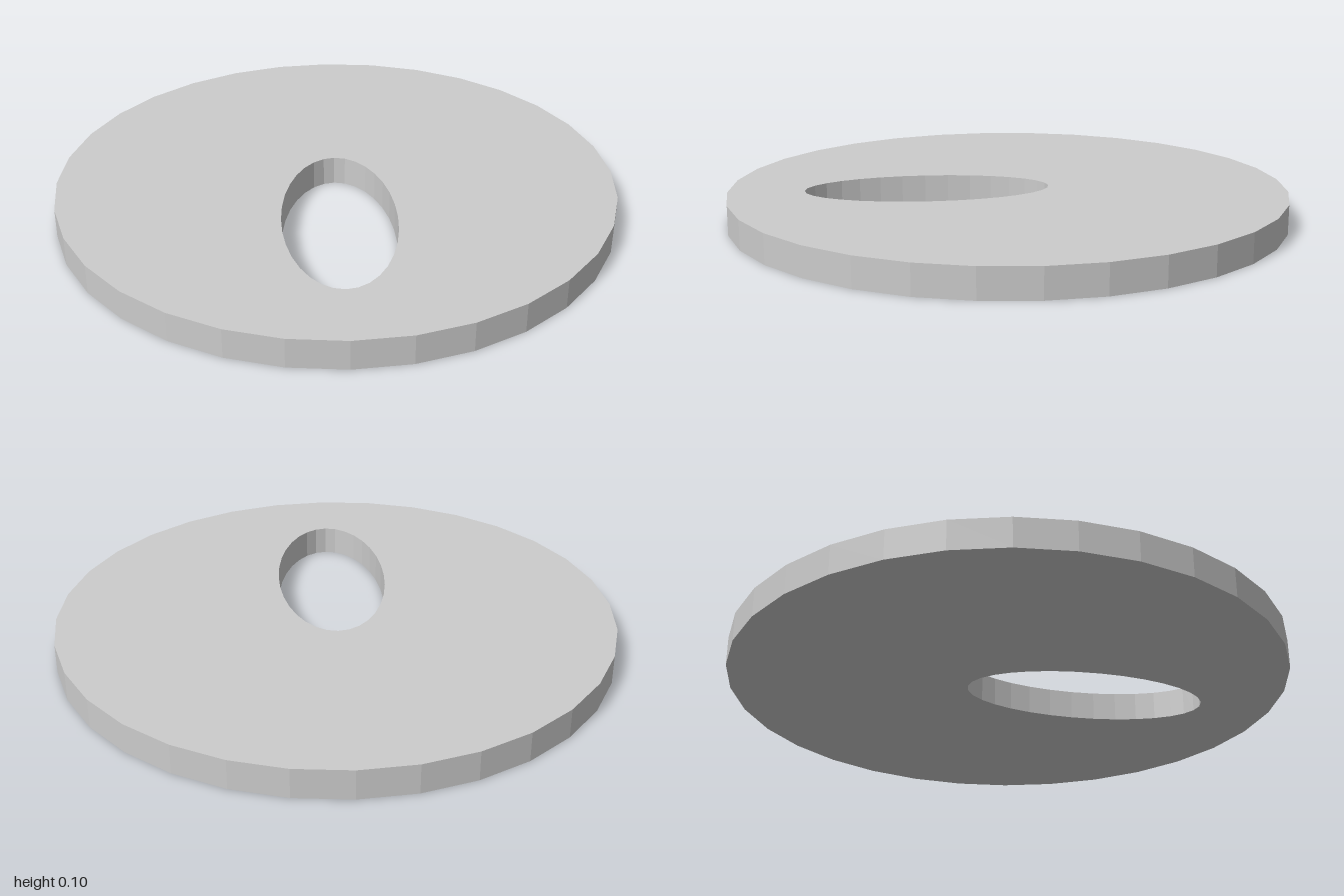
import * as THREE from 'three';

const SIDES = 32;
const THICKNESS = 0.105;

// Corner points of a faceted ellipse centred at (0, cy)
function ellipsePoints(rx, ry, cy = 0) {
  return Array.from({ length: SIDES }, (_, i) => {
    const a = (i / SIDES) * Math.PI * 2;
    return new THREE.Vector2(Math.cos(a) * rx, cy + Math.sin(a) * ry);
  });
}

export function createModel() {
  const group = new THREE.Group();
  const material = new THREE.MeshStandardMaterial({ color: 0xcccccc, flatShading: true });

  // Round plate with an off-centre oval hole towards the front
  const outline = new THREE.Shape(ellipsePoints(1, 1));
  outline.holes.push(new THREE.Path(ellipsePoints(0.2, 0.437, -0.29)));

  const geometry = new THREE.ExtrudeGeometry(outline, { depth: THICKNESS, bevelEnabled: false });
  geometry.rotateX(-Math.PI / 2); // lay flat, standing on y = 0

  const plate = new THREE.Mesh(geometry, material);
  plate.name = 'plateWithOvalHole';
  group.add(plate);
  return group;
}
